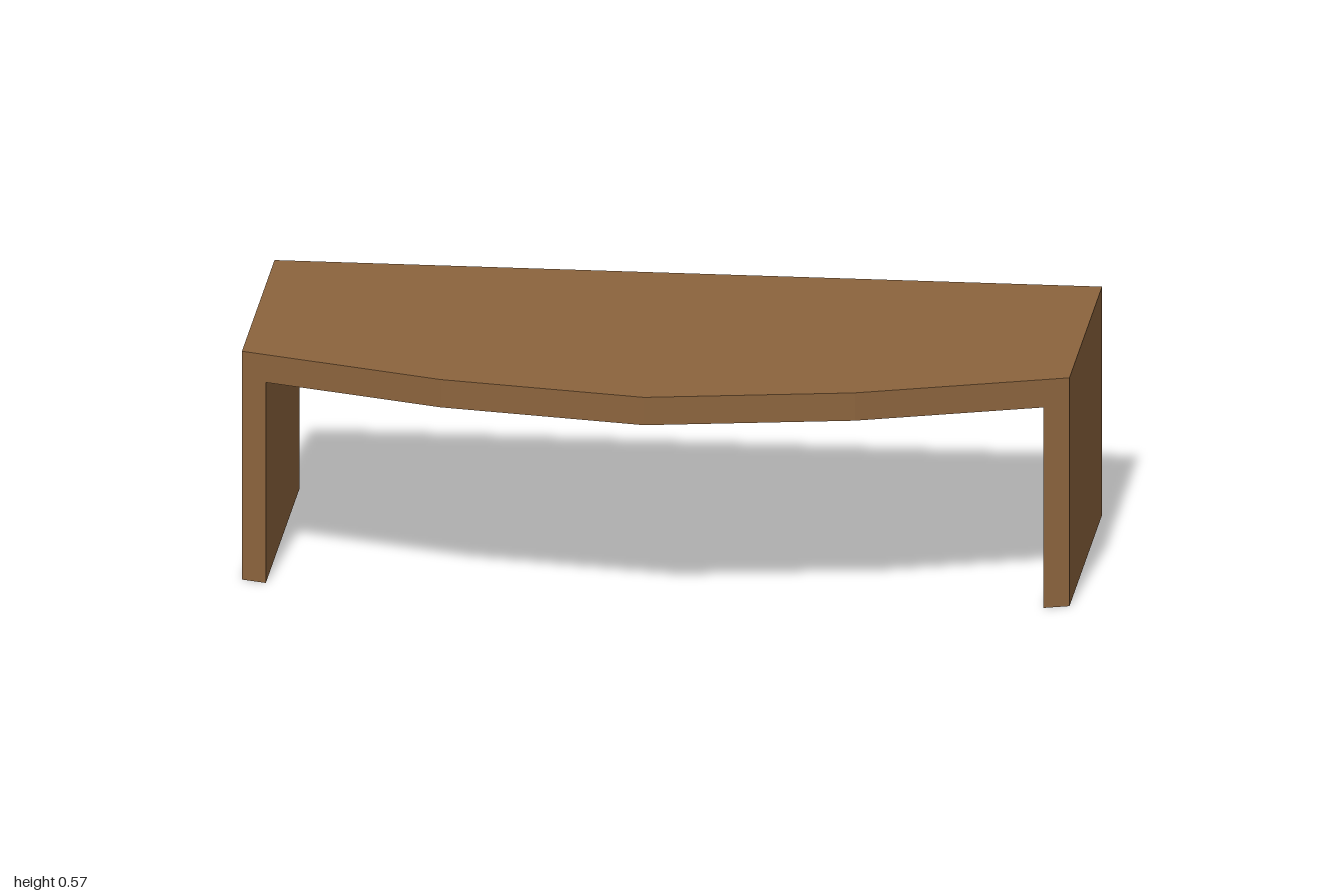
import * as THREE from 'three';

const HEIGHT = 0.575, TOP = 0.07, BACK = -0.5;

export function createModel() {
  const group = new THREE.Group();
  const wood = new THREE.MeshStandardMaterial({ color: 0x8c643d, flatShading: true });

  // Extrudes a plan outline of [x, z] points downward from topY
  const slab = (name, outline, topY, depth) => {
    const shape = new THREE.Shape(outline.map(([x, z]) => new THREE.Vector2(x, z)));
    const geometry = new THREE.ExtrudeGeometry(shape, { depth, bevelEnabled: false });
    geometry.rotateX(Math.PI / 2);
    const mesh = new THREE.Mesh(geometry, wood);
    mesh.name = name;
    mesh.position.y = topY;
    group.add(mesh);
  };

  // Top with a faceted bowed front edge
  slab('tableTop', [
    [-1, BACK], [1, BACK], [1, 0.235], [0.5, 0.41], [0, 0.5], [-0.5, 0.41], [-1, 0.235],
  ], HEIGHT, TOP);

  // Side panels, their front edges following the bow
  for (const [name, s] of [['leftSidePanel', 1], ['rightSidePanel', -1]]) {
    slab(name, [
      [s, BACK], [s, 0.235], [s * 0.94, 0.256], [s * 0.94, BACK],
    ], HEIGHT - TOP, HEIGHT - TOP);
  }

  return group;
}
